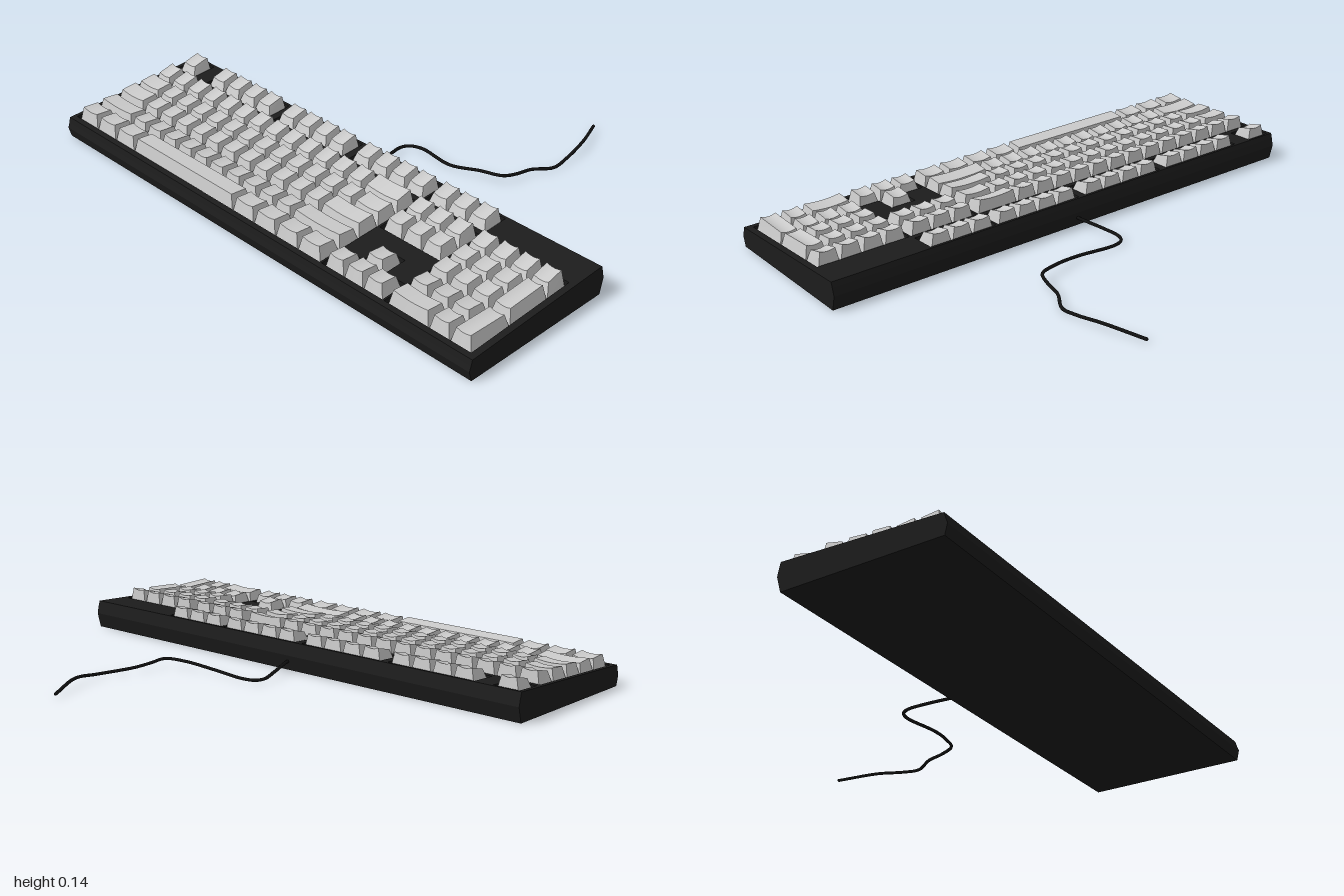
import * as THREE from 'three';
import { toCreasedNormals } from 'three/addons/utils/BufferGeometryUtils.js';

const U = 0.0865;            // pitch of one key
const X0 = -0.978;           // left edge of the key field
const FRONT = 0.693, BACK = 0.093, PLATE = 0.02;
const topY = z => 0.106 - 0.0483 * (z - BACK);           // sloping deck
const rowZ = r => (r === 0 ? 0.11 : 0.232 + (r - 1) * U); // back edge of a row
const ones = n => Array(n).fill(1);

// Per row: front height, back height, front inset, back inset of the cap top
const ROWS = [
  [0.128, 0.143, 0.016, 0.005],
  [0.128, 0.143, 0.016, 0.005],
  [0.126, 0.132, 0.014, 0.007],
  [0.123, 0.128, 0.013, 0.008],
  [0.120, 0.114, 0.012, 0.009],
  [0.118, 0.113, 0.011, 0.010],
];

// Runs of keys: row, start in key units, widths
const RUNS = [
  [0, 0, [1]], [0, 2, ones(4)], [0, 6.5, ones(4)], [0, 11, ones(4)], [0, 15.25, ones(3)],
  [1, 0, [...ones(13), 2]],
  [2, 0, [1.5, ...ones(12), 1.5]],
  [3, 0, [1.75, ...ones(11), 2.25]],
  [4, 0, [2.25, ...ones(10), 2.75]],
  [5, 0, [1.25, 1.25, 1.25, 6.25, 1.25, 1.25, 1.25, 1.25]],
  [1, 15.25, ones(3)], [2, 15.25, ones(3)], [4, 16.25, [1]], [5, 15.25, ones(3)],
  [1, 18.5, ones(4)], [2, 18.5, ones(3)], [3, 18.5, ones(3)], [4, 18.5, ones(3)], [5, 18.5, [2, 1]],
];

// Tapered keycap with a tilted, scooped top
function keycap(row, start, units, rows = 1) {
  const [fy, by, fi, bi] = ROWS[row];
  const frontY = rows > 1 ? ROWS[row + rows - 1][0] : fy;
  const w = units * U - 0.004, d = rows * U - 0.004;
  const cx = X0 + (start + units / 2) * U, cz = rowZ(row) + rows * U / 2;
  const dip = units > 4 ? 0 : 0.006;
  const geo = new THREE.BoxGeometry(w, 1, d, 6, 1, 1);
  const p = geo.attributes.position;
  for (let i = 0; i < p.count; i++) {
    const x = p.getX(i), z = p.getZ(i), t = x / (w / 2);
    if (p.getY(i) > 0) {
      const y = (z > 0 ? frontY : by) - dip * (1 - t * t);
      p.setXYZ(i, cx + t * (w / 2 - 0.012), y, cz + (z > 0 ? z - fi : z + bi));
    } else {
      p.setXYZ(i, cx + x, topY(cz + z) - 0.016, cz + z);
    }
  }
  return toCreasedNormals(geo, 0.5);
}

// Closed outline in the deck plane from [x, z] pairs
const outline = (pts, Type) => new Type(pts.map(([x, z]) => new THREE.Vector2(x, z)));

// Rectangular well around a block of keys
function well(u0, u1, r0, r1) {
  const m = 0.007, a = X0 + u0 * U - m, b = X0 + u1 * U + m;
  const c = rowZ(r0) - m, d = rowZ(r1) + U + m;
  return [[a, c], [b, c], [b, d], [a, d]];
}

export function createModel() {
  const model = new THREE.Group();
  const dark = new THREE.MeshStandardMaterial({ color: 0x1c1c1c });
  const floor = new THREE.MeshStandardMaterial({ color: 0x111111 });
  const grey = new THREE.MeshStandardMaterial({ color: 0xcccccc });
  const add = (parent, name, geo, mat) => {
    const mesh = new THREE.Mesh(geo, mat);
    mesh.name = name;
    parent.add(mesh);
    return mesh;
  };

  // Case: side profile swept across the width, up to the floor of the wells
  const lip = 0.0055;
  const profile = outline([
    [-0.695, 0], [-0.096, 0], [-0.081, 0.057], [-(BACK - lip), topY(BACK) - PLATE],
    [-(FRONT + lip), topY(FRONT) - PLATE], [-0.705, 0.038],
  ], THREE.Shape);
  const caseGeo = new THREE.ExtrudeGeometry(profile, { depth: 2, bevelEnabled: false });
  caseGeo.rotateY(Math.PI / 2).translate(-1, 0, 0);
  add(model, 'case', caseGeo, [floor, dark]);
  model.children[0].material = dark;

  // Deck plate with wells for every key block
  const deck = outline([[-1, BACK], [1, BACK], [1, FRONT], [-1, FRONT]], THREE.Shape);
  const up = well(16.25, 17.25, 4, 4), arrows = well(15.25, 18.25, 5, 5);
  const wells = [
    well(0, 1, 0, 0), well(2, 6, 0, 0), well(6.5, 10.5, 0, 0), well(11, 15, 0, 0),
    well(15.25, 18.25, 0, 0), well(0, 15, 1, 5), well(15.25, 18.25, 1, 2), well(18.5, 22.5, 1, 5),
    [up[0], up[1], [up[1][0], arrows[1][1]], arrows[1], arrows[2], arrows[3], arrows[0],
      [up[0][0], arrows[0][1]]],
  ];
  deck.holes = wells.map(pts => outline(pts, THREE.Path));
  const deckGeo = new THREE.ExtrudeGeometry(deck, { depth: PLATE, bevelEnabled: false });
  deckGeo.rotateX(Math.PI / 2);
  const p = deckGeo.attributes.position;
  for (let i = 0; i < p.count; i++) {
    const z = p.getZ(i), y = p.getY(i);
    const flare = y < -PLATE / 2 ? lip : 0;
    p.setY(i, topY(z) + y);
    if (z > FRONT - 1e-4) p.setZ(i, z + flare);
    if (z < BACK + 1e-4) p.setZ(i, z - flare);
  }
  deckGeo.computeVertexNormals();
  add(model, 'deck', deckGeo, dark);

  // Keys
  const keys = new THREE.Group();
  keys.name = 'keys';
  model.add(keys);
  for (const [row, start, widths] of RUNS) {
    let u = start;
    for (const w of widths) {
      add(keys, w > 4 ? 'spaceBar' : 'keycap', keycap(row, u, w), grey);
      u += w;
    }
  }
  for (const row of [2, 4]) add(keys, 'tallKeycap', keycap(row, 21.5, 1, 2), grey);

  // Cable trailing from the back
  const path = new THREE.CatmullRomCurve3([
    [-0.01, 0.036, 0.11], [-0.016, 0.033, 0.075], [-0.045, 0.022, -0.02], [-0.06, 0.013, -0.09],
    [-0.045, 0.011, -0.12], [0, 0.012, -0.136], [0.15, 0.014, -0.122], [0.27, 0.03, -0.15],
    [0.35, 0.032, -0.178], [0.367, 0.023, -0.23], [0.38, 0.017, -0.3], [0.42, 0.009, -0.375],
    [0.418, 0.015, -0.45], [0.4, 0.027, -0.56], [0.34, 0.011, -0.702],
  ].map(a => new THREE.Vector3(...a)));
  add(model, 'cable', new THREE.TubeGeometry(path, 120, 0.006, 8), floor);
  const end = add(model, 'cableEnd', new THREE.SphereGeometry(0.006, 8, 6), floor);
  end.position.copy(path.getPoint(1));

  return model;
}
